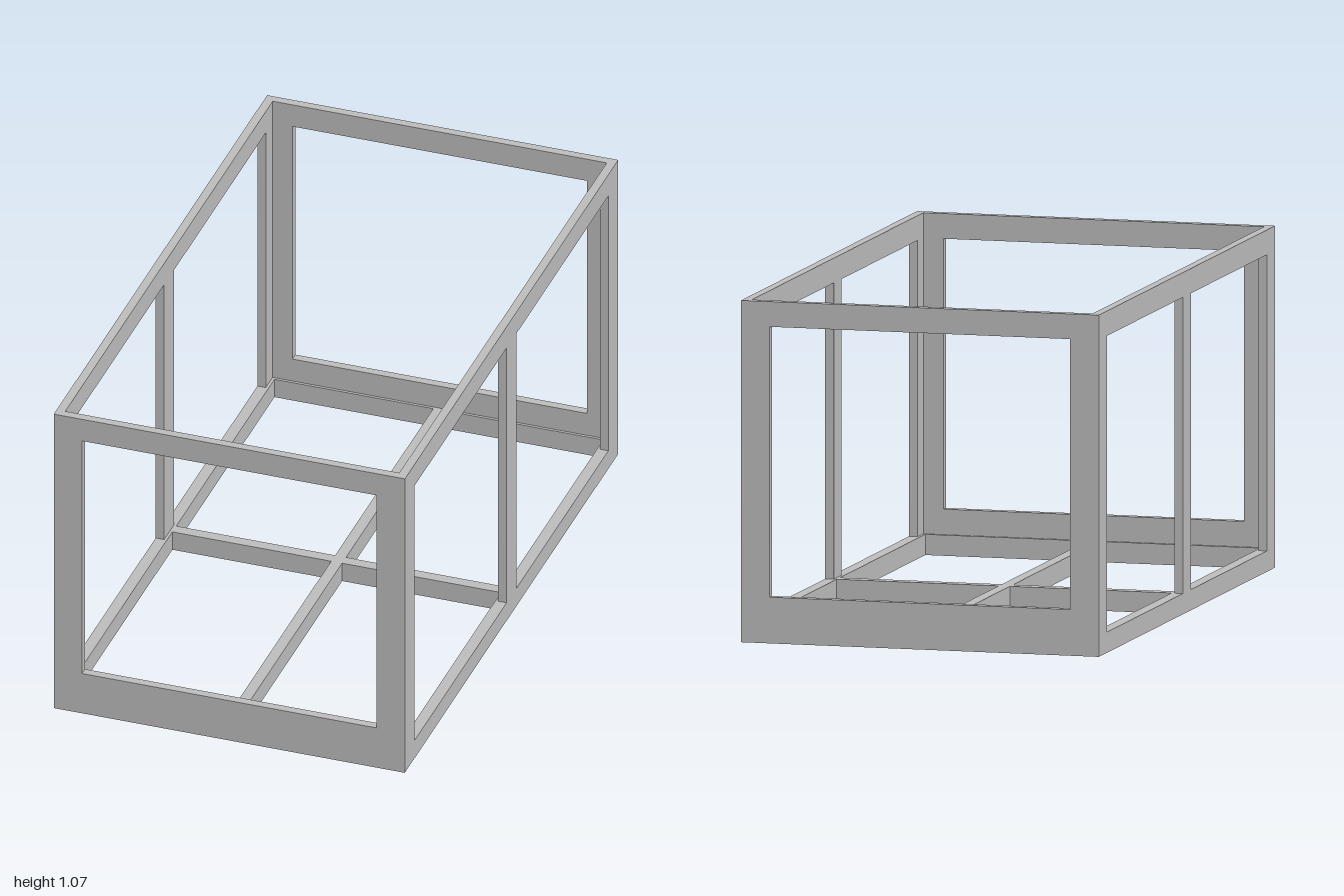
import * as THREE from 'three';

const W = 0.578, H = 1.073, L = 1; // half width, height, half length
const T = 0.028;                   // plate thickness
const BAR_H = 0.065, BAR_W = 0.037;

const steel = new THREE.MeshStandardMaterial({ color: 0xc0c0c0 });
steel.name = 'grey steel';

// Rectangular plate in the XY plane with rectangular openings [x0, x1, y0, y1]
function framePlate(half, openings) {
  const s = new THREE.Shape();
  s.moveTo(-half, 0).lineTo(half, 0).lineTo(half, H).lineTo(-half, H).closePath();
  for (const [x0, x1, y0, y1] of openings) {
    const h = new THREE.Path();
    h.moveTo(x0, y0).lineTo(x0, y1).lineTo(x1, y1).lineTo(x1, y0).closePath();
    s.holes.push(h);
  }
  return new THREE.ExtrudeGeometry(s, { depth: T, bevelEnabled: false });
}

export function createModel() {
  const model = new THREE.Group();
  model.name = 'boxFrame';

  const add = (name, geometry) => {
    const mesh = new THREE.Mesh(geometry, steel);
    mesh.name = name;
    model.add(mesh);
    return mesh;
  };
  // Floor bar spanning x0..x1 and z0..z1
  const bar = (name, x0, x1, z0, z1) => {
    const m = add(name, new THREE.BoxGeometry(x1 - x0, BAR_H, z1 - z0));
    m.position.set((x0 + x1) / 2, BAR_H / 2, (z0 + z1) / 2);
  };

  // End frames, each with one large opening
  const end = framePlate(W, [[-0.485, 0.485, 0.145, 0.994]]);
  add('frontFrame', end).position.z = L - T;
  add('backFrame', end).position.z = -L;

  // Side frames, each with two openings around a middle post
  const side = framePlate(L, [[-0.908, -0.045, BAR_H, 0.995], [0.045, 0.908, BAR_H, 0.995]])
    .rotateY(Math.PI / 2);
  add('leftFrame', side).position.x = W - T;
  add('rightFrame', side).position.x = -W;

  // Ledge bars along the inside of the base
  const xi = W - BAR_W, zi = L - BAR_W;
  bar('leftLedge', xi, W - T, -L + T, L - T);
  bar('rightLedge', -W + T, -xi, -L + T, L - T);
  bar('frontLedge', -xi, xi, zi, L - T);
  bar('backLedge', -xi, xi, -L + T, -zi);

  // Floor cross: one lengthwise bar and two cross bars meeting it
  const c = 0.018;
  bar('centreBar', -c, c, -zi, zi);
  bar('leftCrossBar', c, xi, -0.043, -0.006);
  bar('rightCrossBar', -xi, -c, -0.043, -0.006);

  return model;
}
